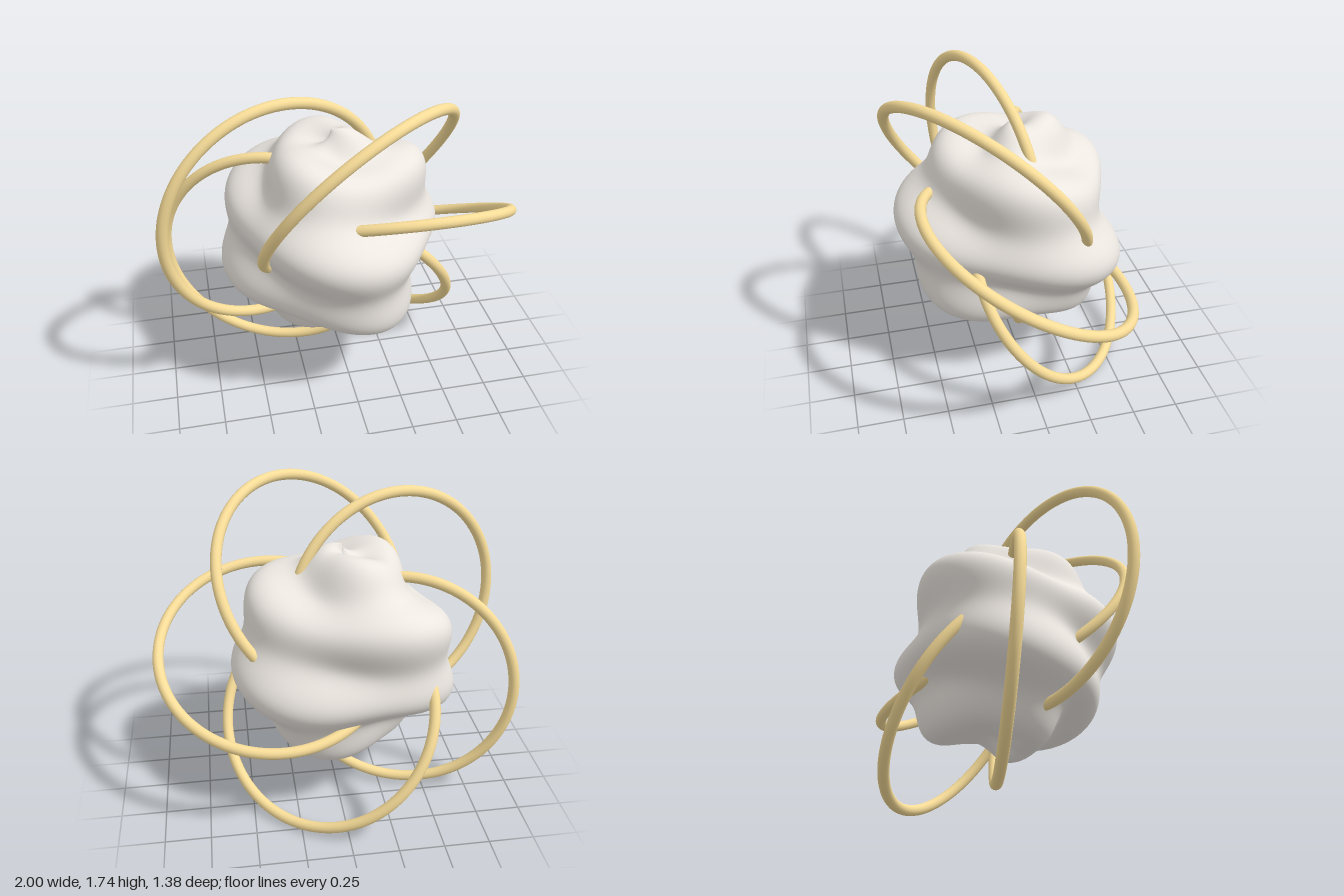
import * as THREE from 'three';
import { mergeVertices } from 'three/addons/utils/BufferGeometryUtils.js';

// Sphere whose radius carries a spiral ripple and three twisted lobes that fade at the poles.
function rippledSphere() {
  let geo = new THREE.SphereGeometry(1, 160, 120);
  const pos = geo.attributes.position;
  const uv = geo.attributes.uv;
  for (let i = 0; i < pos.count; i++) {
    const around = uv.getX(i) * Math.PI * 2 - Math.PI / 2; // 0 at the front, rising towards +x
    const elevation = (uv.getY(i) - 0.5) * Math.PI;
    const ripple = 0.036 * Math.cos(8.5 * (elevation - 0.157) + around);
    const lobes = 0.06 * Math.cos(elevation) * Math.cos(3 * around + 2 * elevation);
    const r = 0.573 + ripple + lobes;
    pos.setXYZ(i, pos.getX(i) * r, pos.getY(i) * r, pos.getZ(i) * r);
  }
  // Weld the seam so the shading runs smoothly across it
  geo.deleteAttribute('normal');
  geo.deleteAttribute('uv');
  geo = mergeVertices(geo, 1e-4);
  geo.computeVertexNormals();
  return geo;
}

export function createModel() {
  const model = new THREE.Group();
  model.name = 'rippledBallWithRings';

  const pale = new THREE.MeshStandardMaterial({ color: 0xebe6e0 });
  const gold = new THREE.MeshStandardMaterial({ color: 0xf7dc98 });

  // Everything shares one middle point
  const core = new THREE.Group();
  core.name = 'core';
  core.position.set(-0.05, 0.877, 0);
  model.add(core);

  // Body
  const body = new THREE.Mesh(rippledSphere(), pale);
  body.name = 'body';
  core.add(body);

  // Five off-centre rings, evenly spaced about a leaning axis, each tipped like a propeller blade
  const rings = new THREE.Group();
  rings.name = 'rings';
  rings.rotation.x = 0.525;
  core.add(rings);

  const ringGeo = new THREE.TorusGeometry(0.632, 0.03, 16, 120);
  for (let i = 0; i < 5; i++) {
    const spoke = new THREE.Group();
    spoke.name = `ringSpoke${i + 1}`;
    spoke.rotation.z = (i * Math.PI * 2) / 5;
    const ring = new THREE.Mesh(ringGeo, gold);
    ring.name = `ring${i + 1}`;
    ring.position.x = 0.388;
    ring.rotation.x = 0.545;
    spoke.add(ring);
    rings.add(spoke);
  }
  return model;
}
